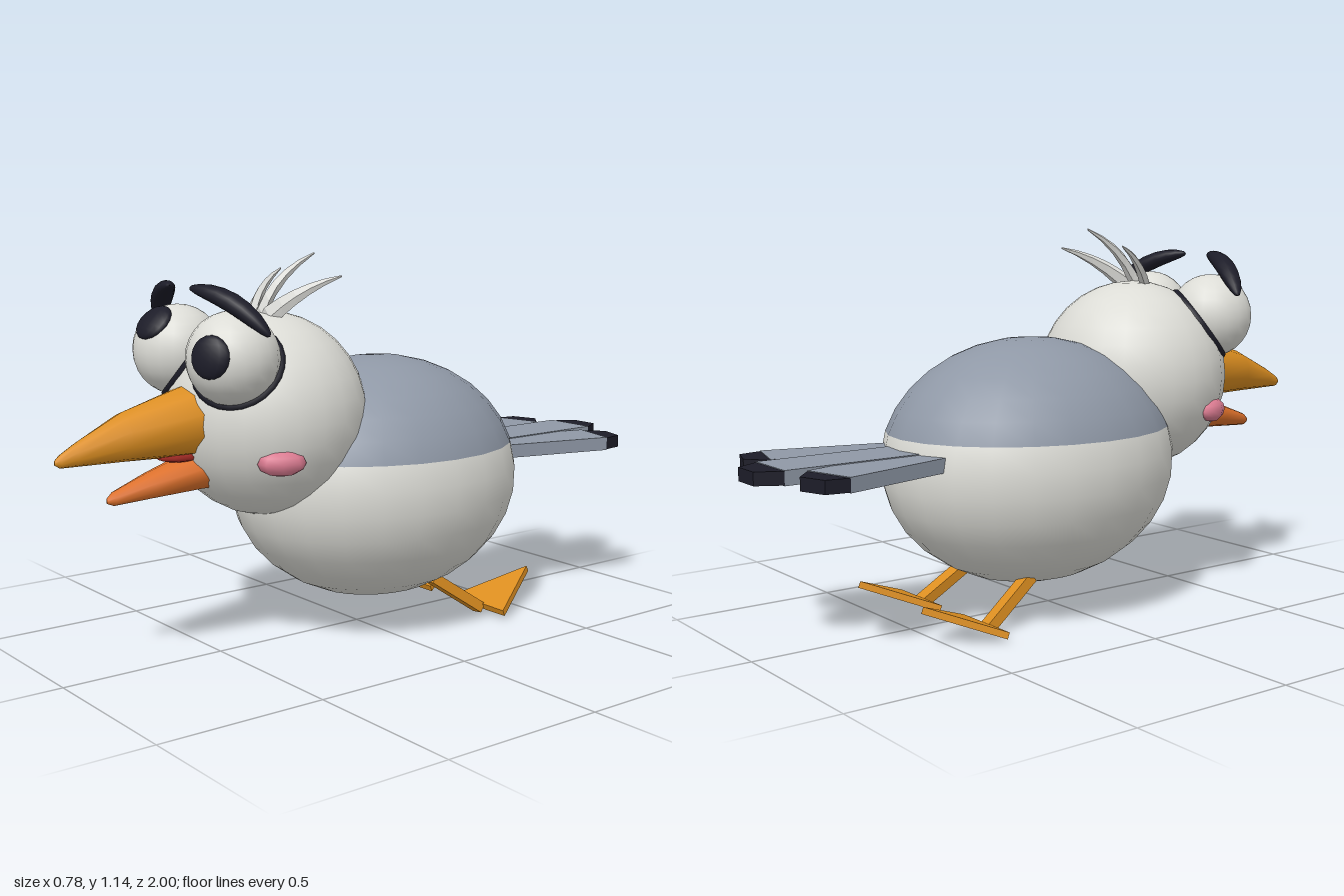
import * as THREE from 'three';

const V = (x, y, z) => new THREE.Vector3(x, y, z);

const mat = (name, color, flatShading = false) => {
  const m = new THREE.MeshStandardMaterial({ color, flatShading });
  m.name = name;
  return m;
};

// Loft of elliptical rings [x, y, z, rx, ry], listed with z increasing
function loft(sections, sides) {
  const pos = [], index = [];
  for (const [x, y, z, rx, ry] of sections) {
    for (let j = 0; j < sides; j++) {
      const a = Math.PI / 2 + (j / sides) * Math.PI * 2;
      pos.push(x + rx * Math.cos(a), y + ry * Math.sin(a), z);
    }
  }
  const last = (sections.length - 1) * sides;
  for (let i = 0; i < last; i += sides) {
    for (let j = 0; j < sides; j++) {
      const k = (j + 1) % sides;
      index.push(i + j, i + k, i + sides + j, i + k, i + sides + k, i + sides + j);
    }
  }
  for (let j = 1; j < sides - 1; j++) {
    index.push(0, j + 1, j, last, last + j, last + j + 1);
  }
  const g = new THREE.BufferGeometry();
  g.setAttribute('position', new THREE.Float32BufferAttribute(pos, 3));
  g.setIndex(index);
  g.computeVertexNormals();
  return g;
}

// Horizontal slab from a top-down outline of [x, z] points
function slab(points, bottom, height) {
  const shape = new THREE.Shape(points.map(([x, z]) => new THREE.Vector2(x, -z)));
  const g = new THREE.ExtrudeGeometry(shape, { depth: height, bevelEnabled: false });
  g.rotateX(-Math.PI / 2);
  g.translate(0, bottom, 0);
  return g;
}

export function createModel() {
  const model = new THREE.Group();
  model.name = 'bird';

  const white = mat('white plumage', 0xdcdcd6);
  const grey = mat('grey plumage', 0x8f98a6);
  const dark = mat('dark', 0x1c1c28);
  const orange = mat('beak orange', 0xdc8e20);
  const deepOrange = mat('lower beak orange', 0xdc702a);
  const pink = mat('cheek pink', 0xdc7c92);
  const red = mat('tongue red', 0xa02a24);

  const add = (name, geometry, material, position) => {
    const m = new THREE.Mesh(geometry, material);
    m.name = name;
    if (position) m.position.copy(position);
    model.add(m);
    return m;
  };

  // Body: grey back over a white belly
  const split = Math.acos(0.1 / 0.37);
  const bodyPart = (name, material, start, length, rows) => {
    const g = new THREE.SphereGeometry(1, 24, rows, 0, Math.PI * 2, start, length);
    g.scale(0.39, 0.37, 0.47);
    add(name, g, material, V(0, 0.46, -0.07));
  };
  bodyPart('back', grey, 0, split, 7);
  bodyPart('belly', white, split, Math.PI - split, 9);

  // Head
  const headCentre = V(0, 0.69, 0.335);
  add('head', new THREE.SphereGeometry(0.295, 24, 16), white, headCentre);

  // Beak and tongue
  add('upperBeak', loft([
    [0, 0.69, 0.5, 0.118, 0.115], [0, 0.693, 0.6, 0.112, 0.1],
    [0, 0.668, 0.8, 0.062, 0.068], [0, 0.635, 0.94, 0.024, 0.032],
    [0, 0.622, 0.985, 0.014, 0.018], [0, 0.62, 1, 0.004, 0.006],
  ], 10), orange);
  add('lowerBeak', loft([
    [0, 0.555, 0.5, 0.08, 0.062], [0, 0.55, 0.58, 0.077, 0.056],
    [0, 0.525, 0.72, 0.045, 0.038], [0, 0.502, 0.83, 0.02, 0.02],
    [0, 0.498, 0.85, 0.006, 0.008],
  ], 10), deepOrange);
  const tongue = add('tongue', new THREE.SphereGeometry(1, 10, 6), red, V(0, 0.598, 0.62));
  tongue.scale.set(0.055, 0.018, 0.075);

  // Eyes with dark rims, pupils, brows and cheeks
  const browGeo = new THREE.SphereGeometry(1, 14, 10);
  browGeo.rotateZ(Math.PI / 2);
  browGeo.scale(0.142, 0.026, 0.032);
  const bp = browGeo.attributes.position;
  for (let i = 0; i < bp.count; i++) {
    bp.setY(i, bp.getY(i) + 0.012 - 1.3 * bp.getX(i) ** 2);
  }
  browGeo.computeVertexNormals();

  for (const s of [1, -1]) {
    const side = s > 0 ? 'left' : 'right';
    const eye = V(s * 0.145, 0.875, 0.535);
    add(side + 'Eye', new THREE.SphereGeometry(0.13, 20, 14), white, eye);

    const out = eye.clone().sub(headCentre).normalize();
    const rim = add(side + 'EyeRim', new THREE.TorusGeometry(0.122, 0.013, 6, 24), dark,
      eye.clone().addScaledVector(out, -0.046));
    rim.quaternion.setFromUnitVectors(V(0, 0, 1), out);

    // The two pupils look in different directions
    const gaze = (s > 0 ? V(0.057, 0.017, 0.112) : V(0.015, 0.088, 0.09)).normalize();
    const pupil = add(side + 'Pupil', new THREE.SphereGeometry(1, 14, 10), dark,
      eye.clone().addScaledVector(gaze, 0.118));
    pupil.scale.set(0.059, 0.059, 0.022);
    pupil.quaternion.setFromUnitVectors(V(0, 0, 1), gaze);

    const brow = add(side + 'Brow', browGeo, dark, V(s * 0.178, 1.018, 0.56));
    brow.quaternion.setFromUnitVectors(V(s, 0, 0), V(s * 0.235, -0.12, -0.1).normalize());

    const cheek = add(side + 'Cheek', new THREE.SphereGeometry(1, 8, 6), pink, V(s * 0.25, 0.592, 0.45));
    cheek.scale.set(0.033, 0.036, 0.068);
    cheek.rotation.y = -s * 0.45;
  }

  // Head tufts: curved spikes swept backwards
  const tuftWhite = mat('tuft white', 0xd8d8d4, true);
  const tufts = [
    [V(-0.03, 0.96, 0.36), V(-0.08, 1.05, 0.3), V(-0.11, 1.095, 0.2)],
    [V(0.01, 0.96, 0.36), V(0.02, 1.08, 0.32), V(0.045, 1.145, 0.19)],
    [V(0.04, 0.96, 0.36), V(0.12, 1.05, 0.3), V(0.175, 1.085, 0.19)],
  ];
  tufts.forEach(([a, b, c], n) => {
    const curve = new THREE.QuadraticBezierCurve3(a, b, c);
    const rings = [];
    for (let i = 5; i >= 0; i--) {
      const p = curve.getPoint(i / 5), w = 1 - i / 5;
      rings.push([p.x, p.y, p.z, 0.003 + 0.024 * w, 0.003 + 0.034 * w]);
    }
    add('tuft' + (n + 1), loft(rings, 5), tuftWhite);
  });

  // Tail: three grey feathers with dark tapered tips
  add('middleFeather', slab([[-0.085, -0.45], [0.085, -0.45], [0.085, -0.93], [-0.085, -0.93]],
    0.488, 0.042), grey);
  add('middleFeatherTip', slab([[-0.085, -0.93], [0.085, -0.93], [0.045, -1], [-0.045, -1]],
    0.49, 0.038), dark);
  for (const s of [1, -1]) {
    const outline = (pts) => pts.map(([x, z]) => [s * x, z]);
    const side = s > 0 ? 'left' : 'right';
    add(side + 'Feather', slab(outline([[0.01, -0.5], [0.16, -0.46], [0.26, -0.832], [0.106, -0.875]]),
      0.485, 0.042), grey);
    add(side + 'FeatherTip', slab(outline([[0.106, -0.875], [0.26, -0.832], [0.248, -0.9], [0.166, -0.928]]),
      0.487, 0.038), dark);
  }

  // Legs and triangular feet, trailing behind
  const foot = new THREE.Shape([
    new THREE.Vector2(-0.114, 0), new THREE.Vector2(0.114, 0), new THREE.Vector2(0, 0.228),
  ]);
  const footGeo = new THREE.ExtrudeGeometry(foot, { depth: 0.02, bevelEnabled: false });
  for (const s of [1, -1]) {
    const side = s > 0 ? 'left' : 'right';
    const top = V(s * 0.146, 0.14, -0.18), heel = V(s * 0.176, 0.02, -0.355);
    const dir = top.clone().sub(heel);
    const leg = add(side + 'Leg', new THREE.BoxGeometry(0.04, dir.length(), 0.032), orange,
      top.clone().add(heel).multiplyScalar(0.5));
    leg.quaternion.setFromUnitVectors(V(0, 1, 0), dir.normalize());
    const f = add(side + 'Foot', footGeo, orange, V(s * 0.173, 0.017, -0.36));
    f.rotation.x = -Math.PI / 2 + 0.38;
  }

  return model;
}
